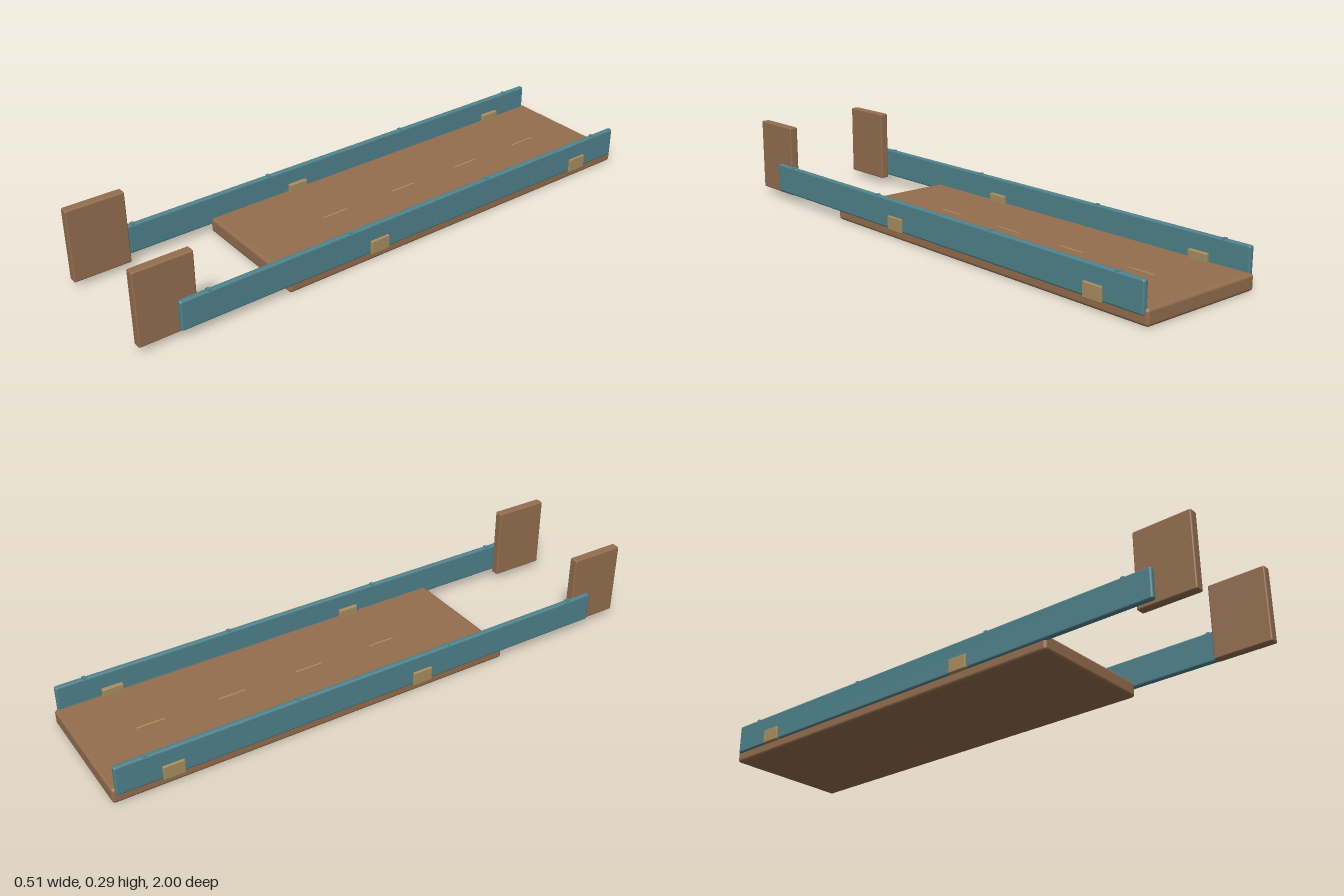
import * as THREE from 'three';
import { RoundedBoxGeometry } from 'three/addons/geometries/RoundedBoxGeometry.js';

export function createModel() {
  const group = new THREE.Group();
  const material = (name, color) => {
    const m = new THREE.MeshStandardMaterial({ color });
    m.name = name;
    return m;
  };
  const wood = material('brown wood', 0x946e4e);
  const teal = material('teal paint', 0x4f828c);
  const tan = material('tan fitting', 0xa88f5f);

  // Box given by its extents on each axis; radius rounds the edges
  function box(name, mat, [x0, x1], [y0, y1], [z0, z1], radius = 0) {
    const size = [x1 - x0, y1 - y0, z1 - z0];
    const geometry = radius
      ? new RoundedBoxGeometry(...size, 2, radius)
      : new THREE.BoxGeometry(...size);
    const mesh = new THREE.Mesh(geometry, mat);
    mesh.name = name;
    mesh.position.set((x0 + x1) / 2, (y0 + y1) / 2, (z0 + z1) / 2);
    group.add(mesh);
  }

  // Long deck with a dashed centre line
  box('deck', wood, [-0.24, 0.24], [0, 0.055], [-1, 0.473], 0.011);
  for (const z of [-0.765, -0.472, -0.178, 0.12]) {
    box('centreDash', tan, [-0.003, 0.003], [0.053, 0.057], [z - 0.05, z + 0.05]);
  }

  for (const [side, s] of [['left', 1], ['right', -1]]) {
    const span = (a, b) => (s > 0 ? [a, b] : [-b, -a]);

    // Side rail with small seams across its top
    box(side + 'Rail', teal, span(0.228, 0.248), [0.033, 0.139], [-0.988, 0.865], 0.007);
    for (const z of [-0.886, -0.356, 0.235, 0.763]) {
      box(side + 'RailSeam', teal, span(0.23, 0.246), [0.136, 0.141], [z - 0.006, z + 0.006]);
    }

    // Brackets clamping the rail to the deck
    for (const z of [-0.8, 0.122]) {
      box(side + 'Bracket', tan, span(0.215, 0.256), [0.032, 0.082], [z - 0.037, z + 0.037], 0.003);
    }

    // Upright end board
    box(side + 'EndBoard', wood, span(0.198, 0.23), [0.023, 0.286], [0.797, 1], 0.005);
  }
  return group;
}
